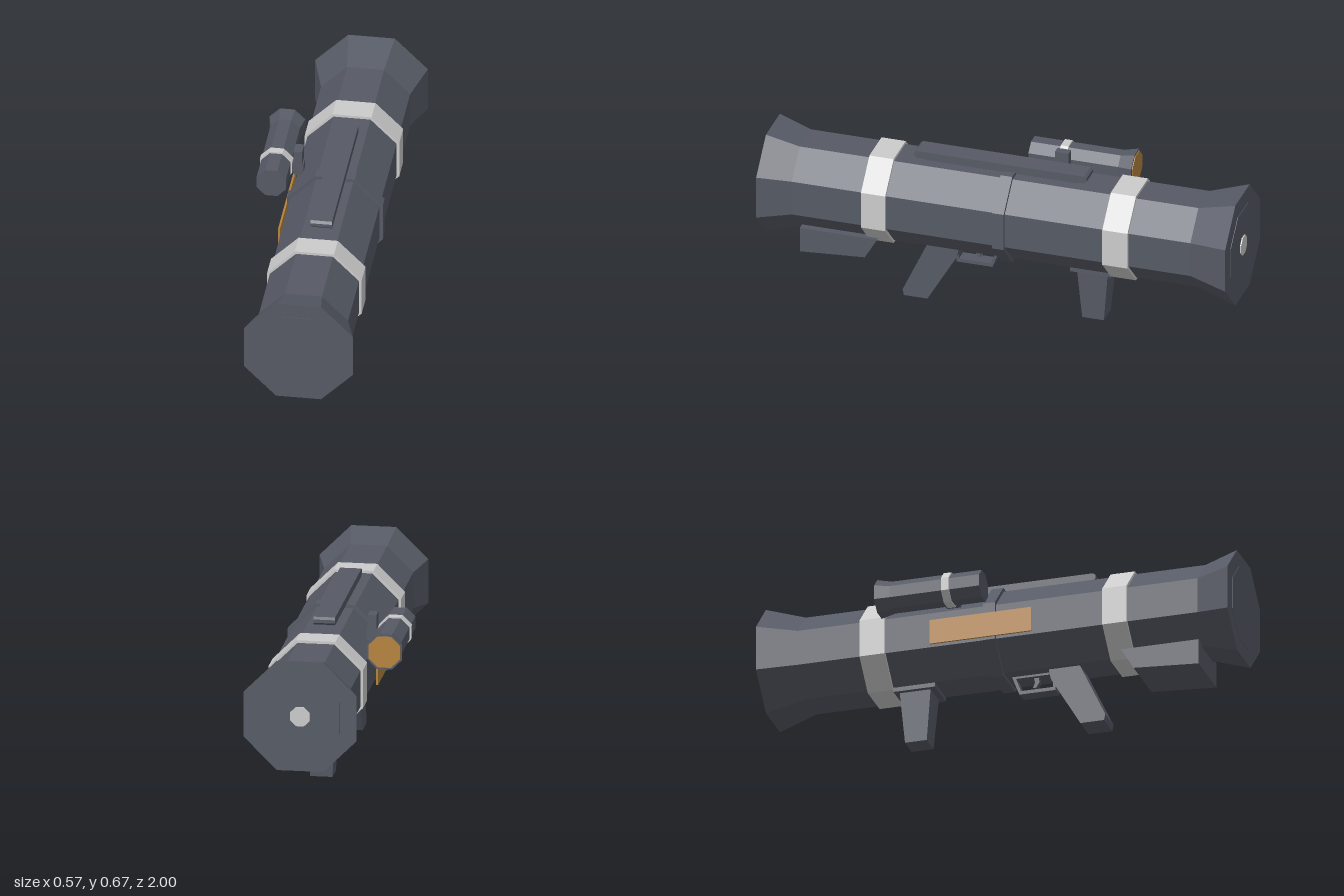
import * as THREE from 'three';

const CX = 0.052, CY = 0.4415;

export function createModel() {
  const group = new THREE.Group();
  const mat = (name, color) => {
    const m = new THREE.MeshStandardMaterial({ color });
    m.name = name;
    return m;
  };
  const dark = mat('gunmetal', 0x565a65);
  const light = mat('light grey', 0xcbcbcb);
  const amber = mat('amber', 0xb5833f);

  const add = (name, geometry, material = dark) => {
    const g = geometry.index ? geometry.toNonIndexed() : geometry;
    g.computeVertexNormals(); // faceted look
    const mesh = new THREE.Mesh(g, material);
    mesh.name = name;
    group.add(mesh);
    return mesh;
  };

  // Closed eight-sided body along z; profile is [z, flat-to-centre distance] from back to front
  const octagon = (name, profile, x = CX, y = CY, material = dark) => {
    const k = 1 / Math.cos(Math.PI / 8);
    const pts = profile.map(([z, a]) => new THREE.Vector2(a * k, z));
    pts.unshift(new THREE.Vector2(0, profile[0][0]));
    pts.push(new THREE.Vector2(0, profile[profile.length - 1][0]));
    const g = new THREE.LatheGeometry(pts, 8, Math.PI / 8);
    return add(name, g.rotateX(Math.PI / 2).translate(x, y, 0), material);
  };

  // Side outline of [z, y] points, given a width across x
  const slab = (name, outline, width, hole, x = CX) => {
    const shape = new THREE.Shape(outline.map(([z, y]) => new THREE.Vector2(z, y)));
    if (hole) shape.holes.push(new THREE.Path(hole.map(([z, y]) => new THREE.Vector2(z, y))));
    const g = new THREE.ExtrudeGeometry(shape, { depth: width, bevelEnabled: false });
    return add(name, g.rotateY(-Math.PI / 2).translate(x + width / 2, 0, 0));
  };

  const box = (name, [x0, x1], [y0, y1], [z0, z1], material) =>
    add(name, new THREE.BoxGeometry(x1 - x0, y1 - y0, z1 - z0)
      .translate((x0 + x1) / 2, (y0 + y1) / 2, (z0 + z1) / 2), material);

  // Main tube with flared ends
  octagon('launchTube', [[-0.993, 0.23], [-0.83, 0.182], [0.86, 0.182], [0.998, 0.222]]);
  octagon('frontCap', [[0.99, 0.16], [1, 0.16]]);
  octagon('backCap', [[-0.995, 0.16], [-0.98, 0.16]]);
  octagon('backNozzle', [[-1, 0.04], [-0.98, 0.04]], CX, CY, light);
  octagon('frontBand', [[0.46, 0.193], [0.563, 0.193]], CX, CY, light);
  octagon('backBand', [[-0.567, 0.193], [-0.46, 0.193]], CX, CY, light);
  octagon('middleRing', [[-0.043, 0.196], [0.007, 0.196]]);

  // Carrying rail on top
  slab('topRail', [[-0.335, 0.636], [0.375, 0.636], [0.385, 0.645], [0.385, 0.659],
    [0.375, 0.668], [-0.335, 0.668], [-0.345, 0.659], [-0.345, 0.645]], 0.088);
  box('railFoot', [0.02, 0.08], [0.615, 0.64], [-0.3, 0.34]);

  // Sight on the right side
  const SX = -0.2115, SY = 0.569;
  octagon('sightBody', [[-0.46, 0.073], [-0.4, 0.06], [-0.02, 0.06]], SX, SY);
  octagon('sightLens', [[-0.463, 0.065], [-0.455, 0.065]], SX, SY, amber);
  octagon('sightBand', [[-0.18, 0.066], [-0.147, 0.066]], SX, SY, light);
  box('sightKnob', [-0.14, -0.105], [0.535, 0.646], [-0.205, -0.147]);
  box('sightMount', [-0.17, -0.1], [0.545, 0.585], [-0.2, -0.15]);
  box('sidePlate', [-0.156, -0.148], [0.37, 0.475], [-0.265, 0.165], amber);

  // Block under the front end
  slab('frontRest', [[0.845, 0.275], [0.845, 0.167], [0.57, 0.185], [0.517, 0.275]], 0.242);

  // Slanted pistol grip
  slab('pistolGrip', [[0.32, 0.265], [0.19, 0.265], [0.2, 0.215], [0.325, 0.002],
    [0.425, 0.002], [0.43, 0.028]], 0.112);

  // Trigger and its guard
  slab('triggerGuard', [[0.21, 0.265], [0.21, 0.178], [0.058, 0.178], [0.025, 0.265]], 0.056,
    [[0.2, 0.25], [0.044, 0.25], [0.065, 0.193], [0.2, 0.193]]);
  slab('trigger', [[0.135, 0.265], [0.11, 0.265], [0.12, 0.23], [0.11, 0.207],
    [0.125, 0.207], [0.138, 0.23]], 0.025);

  // Rear hand grip, narrower toward the bottom
  box('gripPlate', [CX - 0.075, CX + 0.075], [0.241, 0.266], [-0.46, -0.285]);
  const grip = slab('handGrip', [[-0.308, 0.25], [-0.44, 0.25], [-0.42, 0.022], [-0.328, 0.022]], 0.112);
  const pos = grip.geometry.attributes.position;
  for (let i = 0; i < pos.count; i++)
    if (pos.getY(i) < 0.1) pos.setX(i, CX + (pos.getX(i) - CX) * 0.82);
  grip.geometry.computeVertexNormals();

  return group;
}
